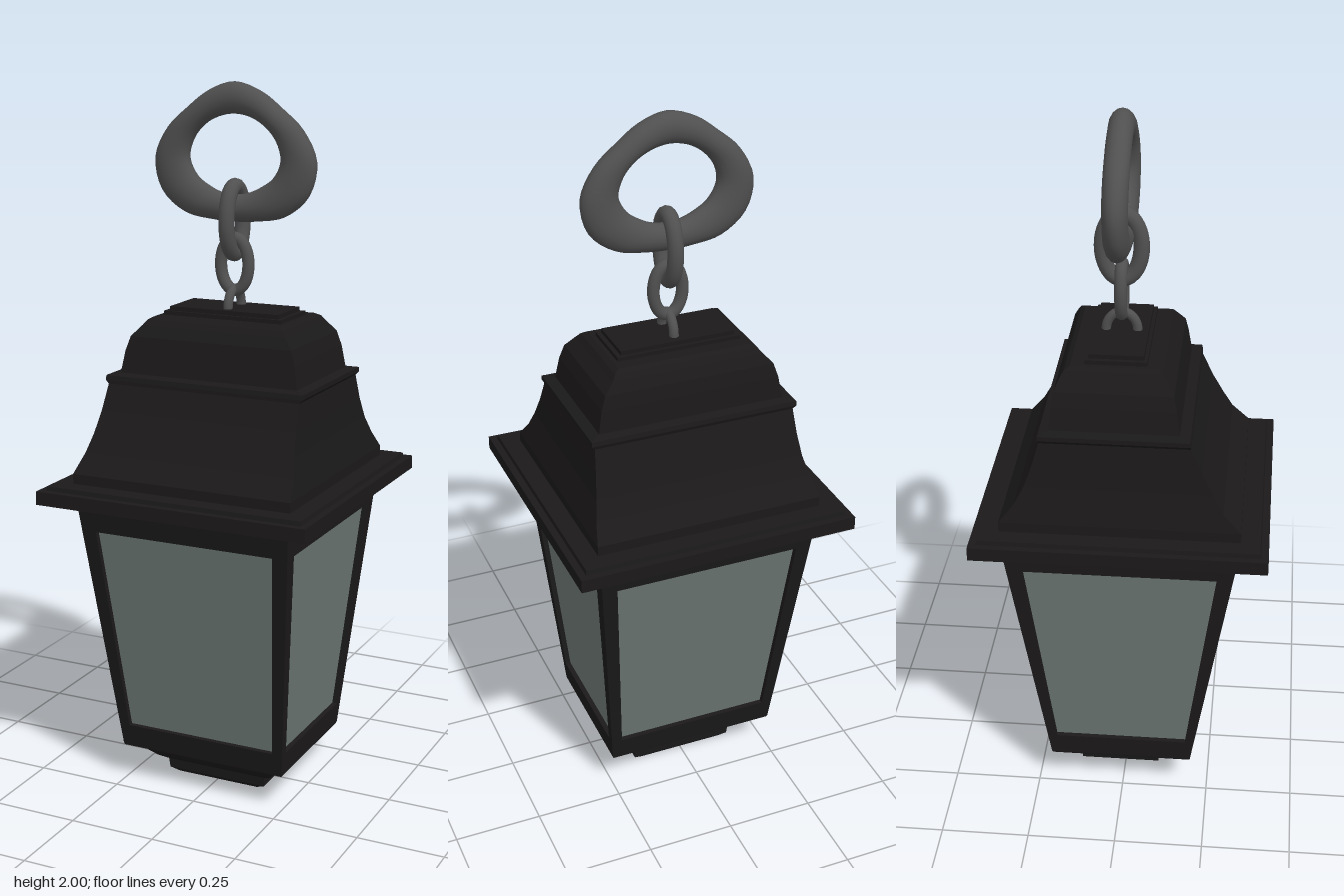
import * as THREE from 'three';

const iron = new THREE.MeshStandardMaterial({ color: 0x1b191a, flatShading: true });
const glass = new THREE.MeshStandardMaterial({ color: 0x6b7673, flatShading: true });
const steel = new THREE.MeshStandardMaterial({ color: 0x505050 });

// geometry from a list of four-cornered faces, corners anticlockwise from outside
function fromQuads(quads) {
  const pos = [];
  for (const [a, b, c, d] of quads) for (const p of [a, b, c, a, c, d]) pos.push(...p);
  const g = new THREE.BufferGeometry();
  g.setAttribute('position', new THREE.Float32BufferAttribute(pos, 3));
  g.computeVertexNormals();
  return g;
}

// corners of a rectangular section [y, half width, back z, front z]
const corners = ([y, w, zb, zf]) => [[-w, y, zf], [w, y, zf], [w, y, zb], [-w, y, zb]];

// closed stack of rectangular sections, from bottom to top
function loft(sections) {
  const rings = sections.map(corners);
  const quads = [[...rings[0]].reverse(), rings[rings.length - 1]];
  for (let k = 0; k + 1 < rings.length; k++)
    for (let i = 0; i < 4; i++) {
      const j = (i + 1) % 4;
      quads.push([rings[k][i], rings[k][j], rings[k + 1][j], rings[k + 1][i]]);
    }
  return fromQuads(quads);
}

const mix = (a, b, t) => a.map((v, i) => v + (b[i] - v) * t);

// tapered body: four frames with recessed panes
function addBody(group) {
  const low = [0.11, 0.252, -0.21, 0.2], high = [0.88, 0.32, -0.33, 0.325];
  const bottom = corners(low), top = corners(high);
  const frame = [], panes = [];
  for (let i = 0; i < 4; i++) {
    const j = (i + 1) % 4;
    const outer = [bottom[i], bottom[j], top[j], top[i]];
    const at = (s, y) => {
      const t = (y - 0.11) / 0.77;
      return mix(mix(bottom[i], top[i], t), mix(bottom[j], top[j], t), s);
    };
    const hole = [at(0.06, 0.175), at(0.94, 0.175), at(0.93, 0.785), at(0.07, 0.785)];
    const angle = i * Math.PI / 2;
    const inward = [-Math.sin(angle) * 0.015, 0, -Math.cos(angle) * 0.015];
    const pane = hole.map(p => p.map((v, k) => v + inward[k]));
    for (let k = 0; k < 4; k++) {
      const n = (k + 1) % 4;
      frame.push([outer[k], outer[n], hole[n], hole[k]]);
      frame.push([hole[k], hole[n], pane[n], pane[k]]);
    }
    panes.push(pane);
  }
  add(group, 'bodyFrame', fromQuads(frame), iron);
  add(group, 'glassPanes', fromQuads(panes), glass);
}

// oval chain link; "across" turns it to lie in the yz plane
function link(y, halfWidth, halfHeight, tube, across) {
  const points = [];
  for (let i = 0; i < 16; i++) {
    const a = i * Math.PI / 8, u = Math.cos(a) * halfWidth;
    points.push(new THREE.Vector3(across ? 0 : u, y + Math.sin(a) * halfHeight, -0.022 + (across ? u : 0)));
  }
  return new THREE.TubeGeometry(new THREE.CatmullRomCurve3(points, true), 40, tube, 12, true);
}

// uneven hanging ring: oval cross-sections swept between outer and inner outlines
function hangingRing() {
  // radii from straight down to straight up, every 22.5 degrees
  const outer = [0.17, 0.18, 0.213, 0.24, 0.242, 0.218, 0.197, 0.2, 0.208];
  const inner = [0.095, 0.098, 0.106, 0.124, 0.138, 0.135, 0.128, 0.123, 0.122];
  const outline = radii => {
    const pts = [];
    for (let i = 0; i < 16; i++) {
      const a = (i / 8 - 0.5) * Math.PI, r = radii[i <= 8 ? i : 16 - i];
      pts.push(new THREE.Vector3(Math.cos(a) * r, 1.792 + Math.sin(a) * r, -0.022));
    }
    return new THREE.CatmullRomCurve3(pts, true);
  };
  const out = outline(outer), inn = outline(inner);
  const N = 64, M = 16, pos = [], idx = [];
  for (let i = 0; i < N; i++) {
    const p = out.getPoint(i / N), q = inn.getPoint(i / N);
    for (let j = 0; j < M; j++) {
      const a = j / M * Math.PI * 2;
      const v = p.clone().lerp(q, 0.5 - 0.5 * Math.cos(a));
      pos.push(v.x, v.y, v.z + Math.sin(a) * 0.034);
      const i2 = (i + 1) % N, j2 = (j + 1) % M;
      const A = i * M + j, B = i2 * M + j, C = i2 * M + j2, D = i * M + j2;
      idx.push(A, B, C, A, C, D);
    }
  }
  const g = new THREE.BufferGeometry();
  g.setAttribute('position', new THREE.Float32BufferAttribute(pos, 3));
  g.setIndex(idx);
  g.computeVertexNormals();
  return g;
}

function add(group, name, geometry, material) {
  const mesh = new THREE.Mesh(geometry, material);
  mesh.name = name;
  group.add(mesh);
}

export function createModel() {
  const group = new THREE.Group();
  group.name = 'hangingLantern';

  // stepped foot under the body
  add(group, 'base', loft([
    [0, 0.125, -0.12, 0.09], [0.012, 0.152, -0.13, 0.1], [0.04, 0.155, -0.132, 0.103],
    [0.055, 0.18, -0.15, 0.125], [0.075, 0.2, -0.165, 0.145], [0.1, 0.218, -0.18, 0.165],
    [0.105, 0.25, -0.208, 0.198], [0.112, 0.252, -0.21, 0.2],
  ]), iron);

  addBody(group);

  // flat brim with a thin upper step
  add(group, 'brim', loft([
    [0.872, 0.4, -0.403, 0.403], [0.91, 0.4, -0.403, 0.403], [0.91, 0.38, -0.383, 0.383],
    [0.922, 0.378, -0.38, 0.38], [0.922, 0.32, -0.325, 0.325],
  ]), iron);

  // flared lower roof
  add(group, 'lowerRoof', loft([
    [0.915, 0.326, -0.328, 0.327], [0.95, 0.326, -0.328, 0.327], [1.0, 0.314, -0.287, 0.278],
    [1.05, 0.302, -0.26, 0.25], [1.11, 0.294, -0.238, 0.218], [1.18, 0.288, -0.218, 0.187],
    [1.19, 0.297, -0.222, 0.187], [1.203, 0.297, -0.22, 0.184], [1.208, 0.268, -0.195, 0.156],
  ]), iron);

  // upper roof with rounded shoulders
  add(group, 'upperRoof', loft([
    [1.2, 0.268, -0.194, 0.157], [1.27, 0.256, -0.187, 0.146], [1.31, 0.243, -0.181, 0.138],
    [1.34, 0.216, -0.167, 0.118], [1.355, 0.205, -0.157, 0.105], [1.363, 0.19, -0.143, 0.093],
  ]), iron);

  add(group, 'cap', loft([
    [1.355, 0.178, -0.106, 0.062], [1.374, 0.178, -0.106, 0.062], [1.374, 0.165, -0.096, 0.052],
    [1.386, 0.165, -0.096, 0.052],
  ]), iron);

  // chain and ring
  add(group, 'capLoop', link(1.385, 0.043, 0.052, 0.013, true), steel);
  add(group, 'middleLink', link(1.505, 0.042, 0.073, 0.017, false), steel);
  add(group, 'topLink', link(1.627, 0.053, 0.093, 0.022, true), steel);
  add(group, 'hangingRing', hangingRing(), steel);
  return group;
}
